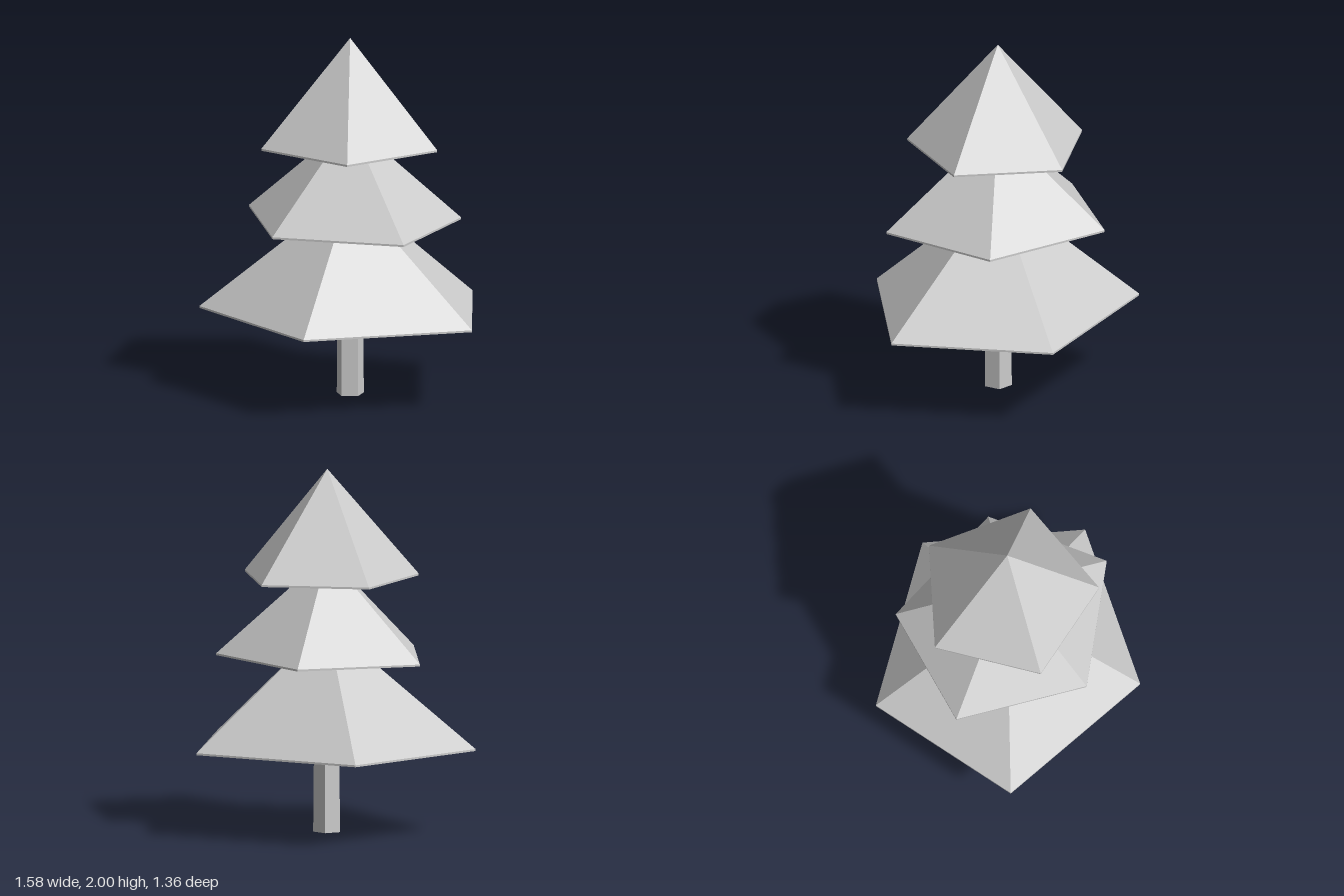
import * as THREE from 'three';

const AXIS_Z = -0.07;
const material = new THREE.MeshStandardMaterial({ color: 0xcccccc, flatShading: true });

// Hollow five-sided canopy: outer slopes, thin rim and a matching underside.
// Corners are [x, z], counterclockwise as seen from above.
function canopy(name, corners, rimY, apexY, thickness = 0.011) {
  const positions = [];
  const tri = (...points) => points.forEach((p) => positions.push(...p));
  const top = [0, apexY, AXIS_Z];
  const under = [0, apexY - thickness, AXIS_Z];
  corners.forEach(([x, z], i) => {
    const [nx, nz] = corners[(i + 1) % corners.length];
    const a = [x, rimY + thickness, z], b = [nx, rimY + thickness, nz];
    const c = [x, rimY, z], d = [nx, rimY, nz];
    tri(top, a, b); // slope
    tri(a, c, d); // rim
    tri(a, d, b);
    tri(under, d, c); // underside
  });
  const geometry = new THREE.BufferGeometry();
  geometry.setAttribute('position', new THREE.Float32BufferAttribute(positions, 3));
  geometry.computeVertexNormals();
  const mesh = new THREE.Mesh(geometry, material);
  mesh.name = name;
  return mesh;
}

export function createModel() {
  const group = new THREE.Group();
  group.name = 'coniferTree';

  // Slightly tapered five-sided trunk running up inside the canopies
  const trunkHeight = 1.8;
  const trunk = new THREE.Mesh(new THREE.CylinderGeometry(0.062, 0.078, trunkHeight, 5), material);
  trunk.name = 'trunk';
  trunk.rotation.y = -Math.PI / 2;
  trunk.position.set(0, trunkHeight / 2, AXIS_Z);
  group.add(trunk);

  // Three tiers, each turned differently
  group.add(
    canopy('lowerCanopy',
      [[0, 0.68], [0.79, 0.163], [0.492, -0.677], [-0.487, -0.684], [-0.793, 0.157]], 0.466, 1.147),
    canopy('middleCanopy',
      [[-0.265, 0.447], [0.468, 0.369], [0.553, -0.321], [-0.123, -0.667], [-0.63, -0.192]], 0.967, 1.527),
    canopy('upperCanopy',
      [[0.155, 0.408], [0.505, AXIS_Z], [0.155, -0.553], [-0.409, -0.371], [-0.409, 0.226]], 1.4, 2),
  );
  return group;
}
